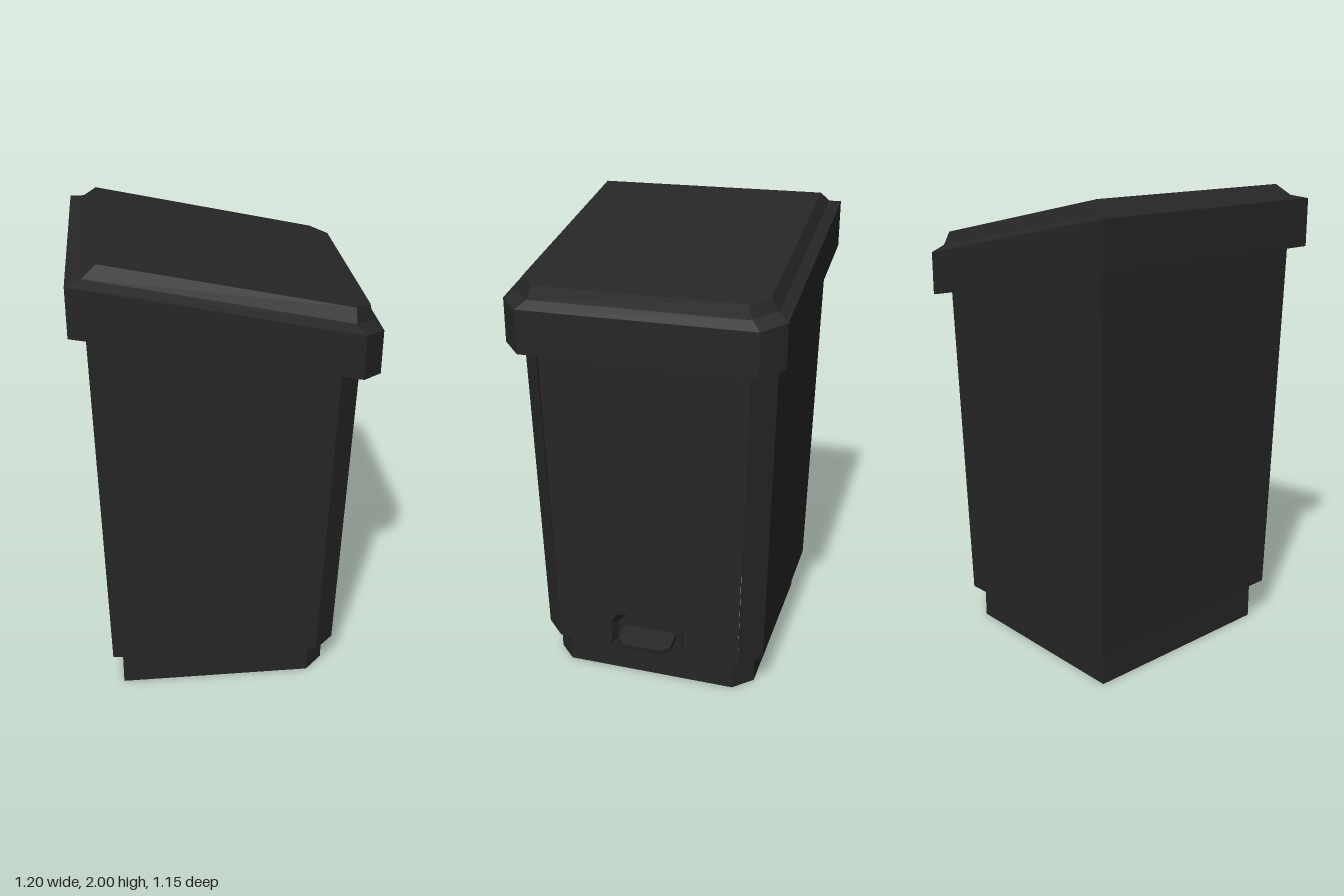
import * as THREE from 'three';

const dark = new THREE.MeshStandardMaterial({ color: 0x262626, flatShading: true, side: THREE.DoubleSide });

// Slanted outline, square at the hinge side and chamfered on the pedal side (+x)
function ring(b, f, h, c, yBack, yFront) {
  const outline = [[b, -h], [f - c, -h], [f, c - h], [f, h - c], [f - c, h], [b, h]];
  return outline.map(([x, z]) => [x, yBack + (yFront - yBack) * (x - b) / (f - b), z]);
}

// Flat-faced skin through rows of points, optionally closed, capped or with one strip left out
function loft(rows, { closed = true, skip = -1, cap = false } = {}) {
  const pos = [];
  const tri = (...pts) => pts.forEach((p) => pos.push(...p));
  for (let r = 0; r < rows.length - 1; r++) {
    const lo = rows[r], hi = rows[r + 1], n = lo.length;
    for (let i = 0; i < (closed ? n : n - 1); i++) {
      if (i === skip) continue;
      const j = (i + 1) % n;
      tri(lo[i], hi[i], lo[j]);
      tri(lo[j], hi[i], hi[j]);
    }
  }
  if (cap) {
    const top = rows[rows.length - 1];
    for (let i = 1; i < top.length - 1; i++) tri(top[0], top[i + 1], top[i]);
  }
  const g = new THREE.BufferGeometry();
  g.setAttribute('position', new THREE.Float32BufferAttribute(pos, 3));
  g.computeVertexNormals();
  return g;
}

// Arch outline as [z, y], with flared feet and rounded shoulders
function arch(w, top, r, base) {
  const half = [[w + 0.02, base], [w + 0.005, base + 0.008], [w, base + 0.025]];
  for (let i = 0; i <= 6; i++) {
    const a = (i / 6) * Math.PI / 2;
    half.push([w - r + r * Math.cos(a), top - r + r * Math.sin(a)]);
  }
  return [...half, ...half.map(([z, y]) => [-z, y]).reverse()];
}

// Flat shape drawn in (z, y), placed facing +x at the depth given by a function of y
function facePanel(points, depth) {
  const g = new THREE.ShapeGeometry(new THREE.Shape(points.map((p) => new THREE.Vector2(...p))));
  const p = g.attributes.position;
  for (let i = 0; i < p.count; i++) p.setXYZ(i, depth(p.getY(i)), p.getY(i), -p.getX(i));
  g.computeVertexNormals();
  return g;
}

export function createModel() {
  const model = new THREE.Group();
  const add = (name, geometry) => {
    const mesh = new THREE.Mesh(geometry, dark);
    mesh.name = name;
    model.add(mesh);
    return mesh;
  };

  const base = 0.145, topY = 1.56;
  const frontX = (y) => 0.49 + 0.035 * (y - base) / (topY - base);

  // Plinth, open underneath
  const plinthTop = ring(-0.465, 0.45, 0.457, 0.08, 0.178, base);
  add('plinth', loft([ring(-0.465, 0.45, 0.457, 0.08, 0, 0), plinthTop]));

  // Tapered body, its front strip replaced by a panel with a pedal notch
  add('body', loft([
    plinthTop,
    ring(-0.507, 0.49, 0.5, 0.09, 0.18, base),
    ring(-0.537, 0.525, 0.53, 0.09, 1.78, topY),
  ], { skip: 2 }));
  const outer = arch(0.165, 0.31, 0.06, base);
  const inner = arch(0.145, 0.28, 0.05, base);
  add('frontPanel', facePanel(
    [[0.41, base], [0.435, topY], [-0.435, topY], [-0.41, base], ...[...outer].reverse()], frontX));
  for (const [a, b] of [[-0.41, -0.185], [0.185, 0.41]]) {
    add('frontLedge', loft([0.45, 0.49].map((x) => [[x, base, a], [x, base, b]]), { closed: false }));
  }

  // Recess around the pedal
  add('recessRim', loft([
    outer.map(([z, y]) => [frontX(y), y, z]),
    inner.map(([z, y]) => [0.45, y, z]),
  ], { closed: false }));
  add('recessBack', facePanel(inner, () => 0.45));

  // Pedal plate with clipped corners, sloping down outward
  const plate = new THREE.Shape([[-0.12, 0], [0.12, 0], [0.12, 0.085], [0.09, 0.115], [-0.09, 0.115], [-0.12, 0.085]]
    .map((p) => new THREE.Vector2(...p)));
  const plateGeometry = new THREE.ExtrudeGeometry(plate, { depth: 0.025, bevelEnabled: false });
  plateGeometry.applyMatrix4(new THREE.Matrix4().makeBasis(
    new THREE.Vector3(0, 0, 1), new THREE.Vector3(1, 0, 0), new THREE.Vector3(0, 1, 0)));
  const pedal = add('pedal', plateGeometry);
  pedal.position.set(0.445, 0.205, 0);
  pedal.rotation.z = -0.2;

  // Sloping lid: underside lip, skirt, rim, bevel and raised top
  add('lid', loft([
    ring(-0.535, 0.523, 0.528, 0.09, 1.732, 1.525),
    ring(-0.6, 0.597, 0.573, 0.086, 1.745, 1.51),
    ring(-0.6, 0.597, 0.573, 0.086, 1.945, 1.692),
    ring(-0.54, 0.56, 0.53, 0.08, 1.957, 1.724),
    ring(-0.485, 0.55, 0.5, 0.07, 2.0, 1.78),
  ], { cap: true }));

  return model;
}
